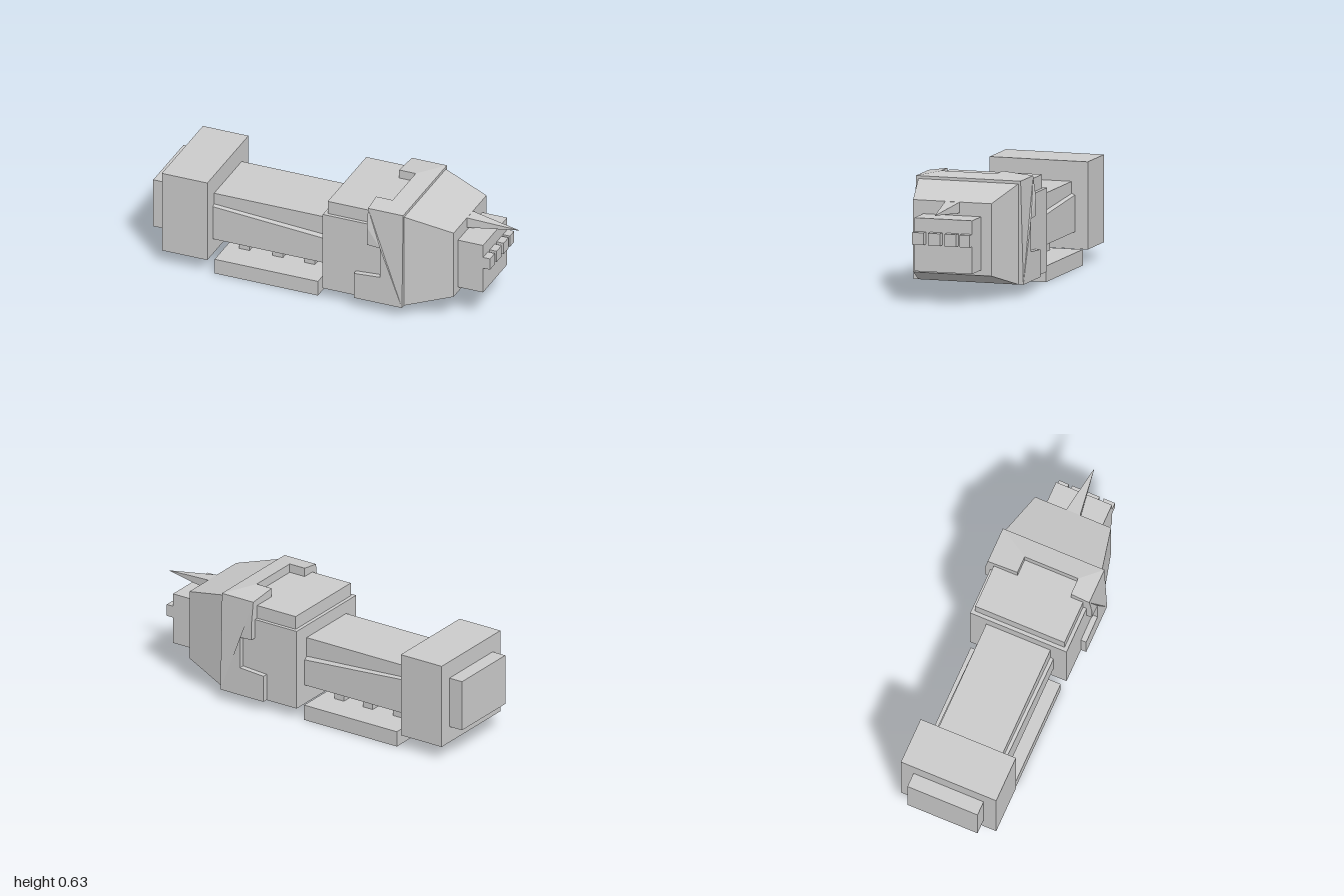
import * as THREE from 'three';

const material = new THREE.MeshStandardMaterial({ color: 0xcccccc, flatShading: true });

function add(parent, name, geometry) {
  const mesh = new THREE.Mesh(geometry, material);
  mesh.name = name;
  parent.add(mesh);
  return mesh;
}

// Box from its limits on each axis
function block(x0, x1, y0, y1, z0, z1) {
  return new THREE.BoxGeometry(x1 - x0, y1 - y0, z1 - z0)
    .translate((x0 + x1) / 2, (y0 + y1) / 2, (z0 + z1) / 2);
}

// Move every vertex by a rule, then refresh the normals
function reshape(geometry, rule) {
  const p = geometry.attributes.position;
  const v = new THREE.Vector3();
  for (let i = 0; i < p.count; i++) {
    v.fromBufferAttribute(p, i);
    rule(v);
    p.setXYZ(i, v.x, v.y, v.z);
  }
  geometry.computeVertexNormals();
  return geometry;
}

// Box along x whose far end is a different rectangle [y0, y1, halfWidth]
function taper(x0, x1, near, far) {
  return reshape(block(x0, x1, 0, 1, -1, 1), (v) => {
    const [y0, y1, w] = v.x > (x0 + x1) / 2 ? far : near;
    v.y = v.y > 0.5 ? y1 : y0;
    v.z = Math.sign(v.z) * w;
  });
}

function extrude(points, depth) {
  const shape = new THREE.Shape(points.map(([x, y]) => new THREE.Vector2(x, y)));
  return new THREE.ExtrudeGeometry(shape, { depth, bevelEnabled: false });
}

export function createModel() {
  const model = new THREE.Group();
  model.name = 'model';

  // Rear end
  add(model, 'rearPlate', block(-1, -0.92, 0.17, 0.45, -0.2, 0.2));
  add(model, 'rearBlock', block(-0.92, -0.66, 0.08, 0.545, -0.272, 0.272));

  // Middle body with a ledge that drops towards the head
  const half = [[0.2, 0.17], [0.2, 0.365], [0.183, 0.373], [0.183, 0.437]];
  const section = [...half, ...half.map(([z, y]) => [-z, y]).reverse()];
  const body = extrude(section, 0.66).rotateY(Math.PI / 2).translate(-0.66, 0, 0);
  add(model, 'middleBody', reshape(body, (v) => {
    if (v.x > -0.3 && v.y > 0.3 && v.y < 0.4) v.y -= v.y > 0.37 ? 0.043 : 0.05;
  }));

  // Skid hung on struts
  add(model, 'skid', block(-0.625, -0.035, 0, 0.085, -0.257, 0.257));
  for (const x of [-0.523, -0.333, -0.15]) {
    add(model, 'skidStrut', block(x - 0.03, x + 0.03, 0.08, 0.175, -0.1, 0.1));
  }

  // Head block and raised roof
  add(model, 'headBlock', block(0, 0.46, 0.062, 0.507, -0.275, 0.275));
  add(model, 'headRoof', block(0.02, 0.46, 0.505, 0.58, -0.255, 0.255));

  // Side armour with stepped rear edge, leaning in at the top
  const plate = [[0.465, 0.063], [0.465, 0.612], [0.265, 0.612], [0.265, 0.505], [0.265, 0.4],
    [0.34, 0.395], [0.34, 0.22], [0.19, 0.21], [0.19, 0.063]];
  for (const side of [1, -1]) {
    const armour = extrude(plate, 0.035).translate(0, 0, side > 0 ? 0.27 : -0.305);
    add(model, side > 0 ? 'leftArmour' : 'rightArmour', reshape(armour, (v) => {
      if (Math.abs(v.z) > 0.3 && v.y > 0.6) v.z = side * 0.29;
    }));
  }

  // Top armour, notched at the rear and raised around the notch
  const cap = [[0.465, -0.29], [0.465, 0.29], [0.265, 0.29], [0.265, 0.12],
    [0.36, 0.12], [0.36, -0.185], [0.265, -0.185], [0.265, -0.29]];
  const topArmour = extrude(cap, 0.107).rotateX(-Math.PI / 2).translate(0, 0.505, 0);
  add(model, 'topArmour', reshape(topArmour, (v) => {
    if (v.y > 0.6 && v.x < 0.4 && Math.abs(v.z) < 0.2) v.y = 0.628;
  }));

  // Tapered nose, snout and teeth
  add(model, 'nose', taper(0.46, 0.722, [0.062, 0.598, 0.278], [0.143, 0.527, 0.217]));
  add(model, 'snout', block(0.72, 0.865, 0.172, 0.455, -0.16, 0.16));
  for (const [z0, z1] of [[0.096, 0.16], [0.005, 0.072], [-0.085, -0.02], [-0.16, -0.103]]) {
    add(model, 'tooth', block(0.86, 0.905, 0.318, 0.383, z0, z1));
  }

  // Forward spike
  add(model, 'spike', taper(0.72, 1, [0.468, 0.526, 0.04], [0.493, 0.494, 0.0005]));

  return model;
}
